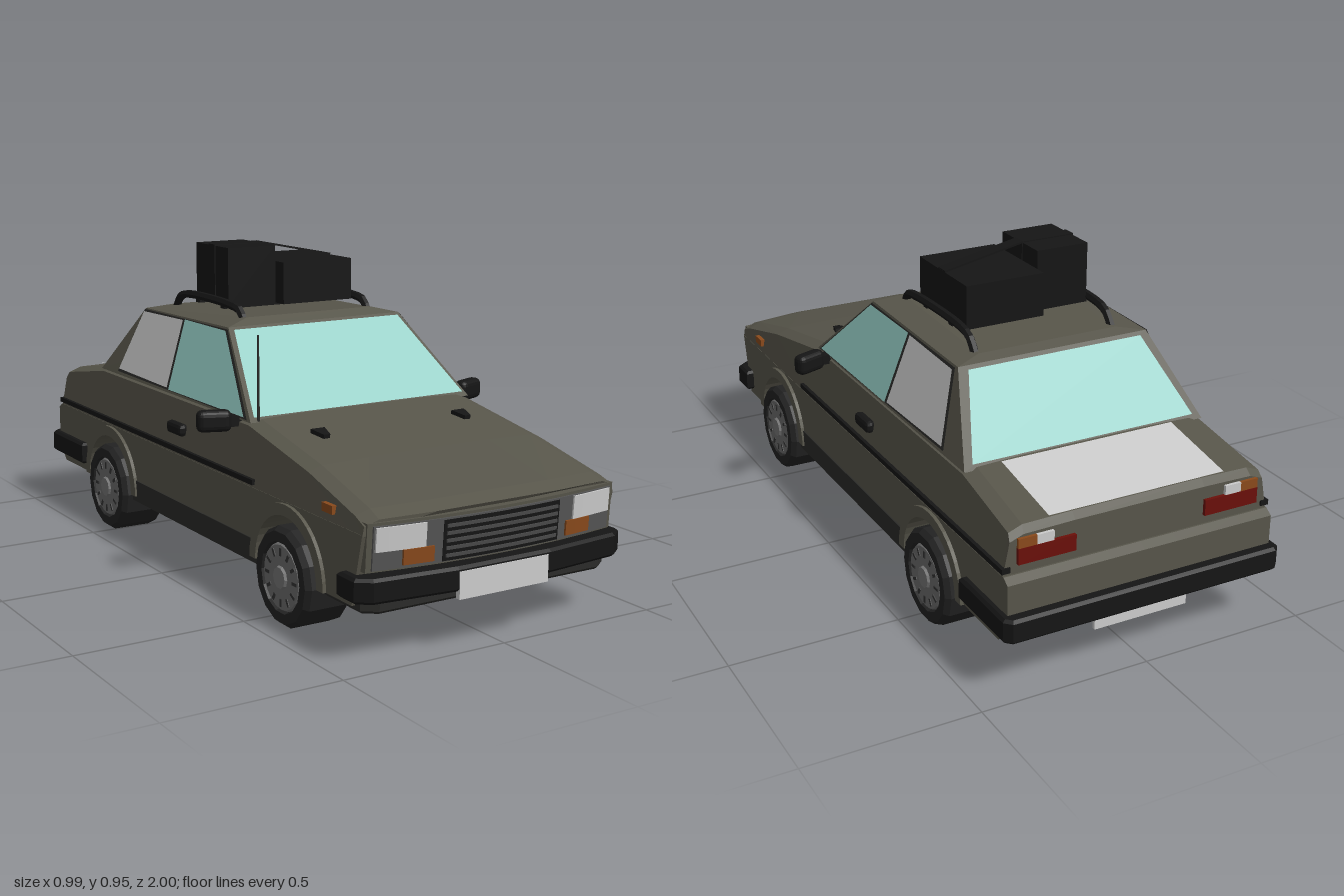
import * as THREE from 'three';
import { RoundedBoxGeometry } from 'three/addons/geometries/RoundedBoxGeometry.js';

const PAINT = 0x57554a, BLACK = 0x151515, DARK = 0x2b2b29, GLASS = 0x98d0c8, GREY = 0xcccccc;
const ORANGE = 0x8a4a1c, RED = 0x6a100a;

export function createModel() {
  const car = new THREE.Group();
  car.name = 'car';

  function add(name, geo, color, parent = car) {
    const mat = new THREE.MeshStandardMaterial({ color, flatShading: true, side: THREE.DoubleSide });
    const mesh = new THREE.Mesh(geo, mat);
    mesh.name = name;
    parent.add(mesh);
    return mesh;
  }
  // box given by its limits on each axis
  function box(name, color, [x0, x1], [y0, y1], [z0, z1]) {
    const g = new THREE.BoxGeometry(x1 - x0, y1 - y0, z1 - z0);
    return add(name, g.translate((x0 + x1) / 2, (y0 + y1) / 2, (z0 + z1) / 2), color);
  }
  function mesh3(points, index) {
    const g = new THREE.BufferGeometry();
    g.setAttribute('position', new THREE.Float32BufferAttribute(points.flat(), 3));
    g.setIndex(index);
    const out = g.toNonIndexed();
    out.computeVertexNormals();
    return out;
  }
  // flat polygon from its corners
  function panel(name, color, pts) {
    const index = [];
    for (let i = 1; i < pts.length - 1; i++) index.push(0, i, i + 1);
    return add(name, mesh3(pts, index), color);
  }
  function warp(geo, rule) {
    const p = geo.attributes.position, v = new THREE.Vector3();
    for (let i = 0; i < p.count; i++) {
      rule(v.fromBufferAttribute(p, i));
      p.setXYZ(i, v.x, v.y, v.z);
    }
    geo.computeVertexNormals();
    return geo;
  }
  // the nose sweeps back towards its corners
  const bow = v => {
    if (v.z > 0.75) v.z -= 0.035 * (v.x / 0.4) ** 2 * Math.min(1, (v.z - 0.75) / 0.2);
  };
  // side outline (z, y) extruded across x, centred on x
  function across(shape, width, x = 0, steps = 1) {
    const g = new THREE.ExtrudeGeometry(shape, { depth: width, steps, bevelEnabled: false, curveSegments: 10 });
    return g.rotateY(-Math.PI / 2).translate(x + width / 2, 0, 0);
  }
  // plan outline of the right half (x, z), mirrored and extruded in y
  function plan(half, y0, y1) {
    const pts = [...half, ...half.slice().reverse().map(([x, z]) => [-x, z])];
    const g = new THREE.ExtrudeGeometry(new THREE.Shape(pts.map(p => new THREE.Vector2(...p))),
      { depth: y1 - y0 - 0.016, bevelThickness: 0.008, bevelSize: 0.008, bevelOffset: -0.008, bevelSegments: 1 });
    return g.rotateX(Math.PI / 2).translate(0, y1 - 0.008, 0);
  }

  // lower body with wheel tunnels
  const axles = [-0.535, 0.585];
  const low = new THREE.Shape();
  low.moveTo(0.93, 0.15);
  [[0.98, 0.345], [-0.945, 0.345], [-0.967, 0.33], [-0.967, 0.2], [-0.92, 0.15]].forEach(p => low.lineTo(...p));
  axles.forEach(z => {
    low.lineTo(z - 0.16, 0.15);
    low.absarc(z, 0.15, 0.16, Math.PI, 0, true);
  });
  add('lowerBody', warp(across(low, 0.82, 0, 8), bow), PAINT);

  // dark sills and floor between the wheels, valances at the ends
  box('sillAndFloor', DARK, [-0.414, 0.414], [0.133, 0.2], [-0.375, 0.425]);
  add('frontValance', plan([[0.4, 0.75], [0.4, 0.92], [0.36, 0.95]], 0.133, 0.18), DARK);
  add('rearValance', plan([[0.4, -0.7], [0.4, -0.9], [0.36, -0.94]], 0.14, 0.19), DARK);

  // upper body: sections along z as [z, top height]
  const stations = [[0.98, 0.385], [0.93, 0.402], [0.66, 0.46], [0.32, 0.52], [-0.66, 0.52], [-0.925, 0.475], [-0.94, 0.455]];
  const points = [], index = [];
  stations.forEach(([z, y], r) => {
    const xs = 0.41 - (y - 0.36) * 0.2;
    const half = [[0.41, 0.34], [xs, y - 0.018], [xs - 0.04, y - 0.003], [0.2, y]];
    const row = [...half.map(([x, h]) => [-x, h, z]), ...half.slice().reverse().map(([x, h]) => [x, h, z])];
    const n = row.length;
    points.push(...row);
    for (let j = 0; j < n - 1; j++) {
      const a = r * n + j;
      if (r < stations.length - 1) index.push(a, a + 1, a + n + 1, a, a + n + 1, a + n);
      if (j && r === 0) index.push(0, a + 1, a);
      if (j && r === stations.length - 1) index.push(r * n, a, a + 1);
    }
  });
  add('upperBody', warp(mesh3(points, index), bow), PAINT);

  // cabin: base ring, roof rim and roof crown
  const rings = [
    [[0.378, 0.51, 0.33], [0.378, 0.51, -0.67]],
    [[0.301, 0.738, 0.065], [0.301, 0.728, -0.485]],
    [[0.22, 0.757, 0.03], [0.22, 0.74, -0.45]],
  ].map(([f, b]) => [f, b, [-b[0], b[1], b[2]], [-f[0], f[1], f[2]]]);
  const faces = [8, 9, 10, 8, 10, 11];
  for (let r = 0; r < 2; r++) for (let k = 0; k < 4; k++) {
    const a = r * 4 + k, b = r * 4 + (k + 1) % 4;
    faces.push(a, b, b + 4, a, b + 4, a + 4);
  }
  add('cabin', mesh3(rings.flat(), faces), PAINT);

  // windows, a little proud of the cabin faces
  panel('windscreen', GLASS, [[-0.362, 0.523, 0.321], [0.362, 0.523, 0.321], [0.289, 0.732, 0.078], [-0.289, 0.732, 0.078]]);
  panel('rearWindow', GLASS, [[0.35, 0.525, -0.663], [-0.35, 0.525, -0.663], [-0.275, 0.72, -0.497], [0.275, 0.72, -0.497]]);
  for (const s of [1, -1]) {
    const sidePanel = (name, color, zy, out) =>
      panel(name, color, zy.map(([z, y]) => [s * (0.378 - (y - 0.51) * 0.34 + out), y, z]));
    sidePanel('windowTrim', DARK, [[0.31, 0.515], [0.068, 0.733], [-0.48, 0.726], [-0.545, 0.52]], 0.003);
    sidePanel('frontSideWindow', GLASS, [[0.295, 0.521], [0.064, 0.729], [-0.194, 0.729], [-0.175, 0.521]], 0.007);
    sidePanel('rearSideWindow', GREY, [[-0.188, 0.525], [-0.206, 0.726], [-0.474, 0.72], [-0.535, 0.53]], 0.007);
  }
  panel('bootLidPanel', GREY, [[-0.27, 0.522, -0.675], [0.27, 0.522, -0.675], [0.27, 0.479, -0.927], [-0.27, 0.479, -0.927]]);

  // front fascia pieces follow the leaning, bowed nose
  function fascia(name, color, [x0, x1], [y0, y1], proud) {
    const g = new THREE.BoxGeometry(x1 - x0, y1 - y0, 0.04, 8, 1, 1);
    g.translate((x0 + x1) / 2, (y0 + y1) / 2, 0);
    add(name, warp(g, v => { v.z += 0.945 + v.y * 0.07 + proud; bow(v); }), color);
  }
  fascia('fasciaSurround', PAINT, [-0.4, 0.4], [0.245, 0.375], -0.005);
  fascia('fasciaPanel', 0x555555, [-0.385, 0.385], [0.25, 0.367], 0);
  fascia('grilleBack', BLACK, [-0.188, 0.188], [0.252, 0.362], 0.002);
  for (let i = 0; i < 5; i++) fascia('grilleSlat', 0x4a4a4a, [-0.18, 0.18], [0.262 + i * 0.02, 0.271 + i * 0.02], 0.006);
  for (const s of [1, -1]) {
    const span = (a, b) => (s > 0 ? [a, b] : [-b, -a]);
    fascia('headlight', GREY, span(0.24, 0.38), [0.3, 0.364], 0.005);
    fascia('indicator', ORANGE, span(0.215, 0.303), [0.258, 0.299], 0.006);

    // rear lamps
    box('tailLight', RED, span(0.2, 0.37), [0.372, 0.418], [-0.95, -0.92]);
    box('rearIndicator', ORANGE, span(0.315, 0.37), [0.418, 0.445], [-0.949, -0.92]);
    box('reversingLight', GREY, span(0.265, 0.315), [0.418, 0.445], [-0.949, -0.92]);

    // side trim and fittings
    box('sideStrip', BLACK, span(0.39, 0.415), [0.353, 0.368], [-0.945, 0.4]);
    box('sideMarker', ORANGE, span(0.38, 0.414), [0.367, 0.39], [0.76, 0.81]);
    const handle = add('doorHandle', new RoundedBoxGeometry(0.03, 0.038, 0.095, 1, 0.012), BLACK);
    handle.position.set(s * 0.402, 0.422, -0.078);
    const mirror = add('wingMirror', new RoundedBoxGeometry(0.1, 0.063, 0.045, 2, 0.018), BLACK);
    mirror.position.set(s * 0.445, 0.508, 0.238);
    mirror.rotation.y = s * 0.35;
    box('mirrorStalk', BLACK, span(0.36, 0.42), [0.49, 0.52], [0.235, 0.265]);
    const washer = new THREE.BoxGeometry(0.045, 0.014, 0.05);
    warp(washer, v => { if (v.z > 0) v.x *= 0.45; });
    const nozzle = add('washerNozzle', washer, BLACK);
    nozzle.position.set(s * 0.24, 0.495, 0.485);
    nozzle.rotation.x = 0.17;
  }

  // bumpers and plates
  add('frontBumper', plan([[0.435, 0.865], [0.435, 0.945], [0.395, 0.975], [0.15, 1]], 0.17, 0.237), BLACK);
  add('rearBumper', plan([[0.43, -0.735], [0.43, -0.98], [0.41, -1]], 0.175, 0.245), BLACK);
  box('frontPlate', GREY, [-0.15, 0.14], [0.15, 0.225], [0.985, 1.0]).position.z = 0.002;
  box('rearPlate', GREY, [-0.15, 0.14], [0.12, 0.182], [-0.955, -0.945]);

  // wheels and arch lips
  const tyreProfile = [[0, -0.075], [0.125, -0.075], [0.14, -0.06], [0.14, 0.06], [0.128, 0.075], [0.1, 0.075], [0.096, 0.062], [0, 0.062]];
  axles.forEach((z, k) => [1, -1].forEach(s => {
    const wheel = new THREE.Group();
    wheel.name = (k ? 'front' : 'rear') + (s > 0 ? 'Left' : 'Right') + 'Wheel';
    const lathe = new THREE.LatheGeometry(tyreProfile.map(p => new THREE.Vector2(...p)), 14);
    add('tyre', lathe, 0x222222, wheel);
    add('rim', new THREE.CylinderGeometry(0.09, 0.097, 0.012, 20).translate(0, 0.066, 0), 0x6c6c6c, wheel);
    add('hub', new THREE.CylinderGeometry(0.03, 0.036, 0.012, 10).translate(0, 0.073, 0), 0x777777, wheel);
    for (let i = 0; i < 12; i++)
      add('rimSlot', new THREE.BoxGeometry(0.022, 0.004, 0.009).translate(0.071, 0.0725, 0).rotateY(i * Math.PI / 6), 0x333333, wheel);
    wheel.rotation.z = -s * Math.PI / 2;
    wheel.position.set(s * 0.36, 0.142, z);
    car.add(wheel);

    const lip = new THREE.Shape();
    lip.absarc(z, 0.15, 0.192, 0, Math.PI, false);
    lip.absarc(z, 0.15, 0.16, Math.PI, 0, true);
    add('archLip', across(lip, 0.025, s * 0.408), PAINT);
  }));

  // aerial
  add('aerial', new THREE.CylinderGeometry(0.003, 0.004, 0.245, 6).translate(-0.35, 0.633, 0.325), DARK);

  // roof rack and luggage
  for (const s of [1, -1]) {
    const path = new THREE.CatmullRomCurve3([[0.738, 0.015], [0.772, -0.01], [0.782, -0.06], [0.782, -0.36], [0.768, -0.4], [0.73, -0.43]]
      .map(([y, z]) => new THREE.Vector3(s * 0.22, y, z)));
    add('roofBar', new THREE.TubeGeometry(path, 20, 0.013, 6), BLACK);
  }
  for (const z of [-0.12, -0.28]) box('rackCrossBar', BLACK, [-0.22, 0.22], [0.765, 0.78], [z - 0.012, z + 0.012]);
  box('tallCase', BLACK, [-0.21, -0.045], [0.772, 0.95], [-0.305, -0.1]);
  box('wideCase', BLACK, [-0.04, 0.205], [0.772, 0.9], [-0.352, -0.058]);
  const strap = add('luggageStrap', new THREE.BoxGeometry(0.255, 0.006, 0.04), BLACK);
  strap.position.set(0.08, 0.927, -0.2);
  strap.rotation.z = -0.197;
  box('strapOverCase', BLACK, [-0.213, -0.042], [0.78, 0.954], [-0.22, -0.18]);

  return car;
}
